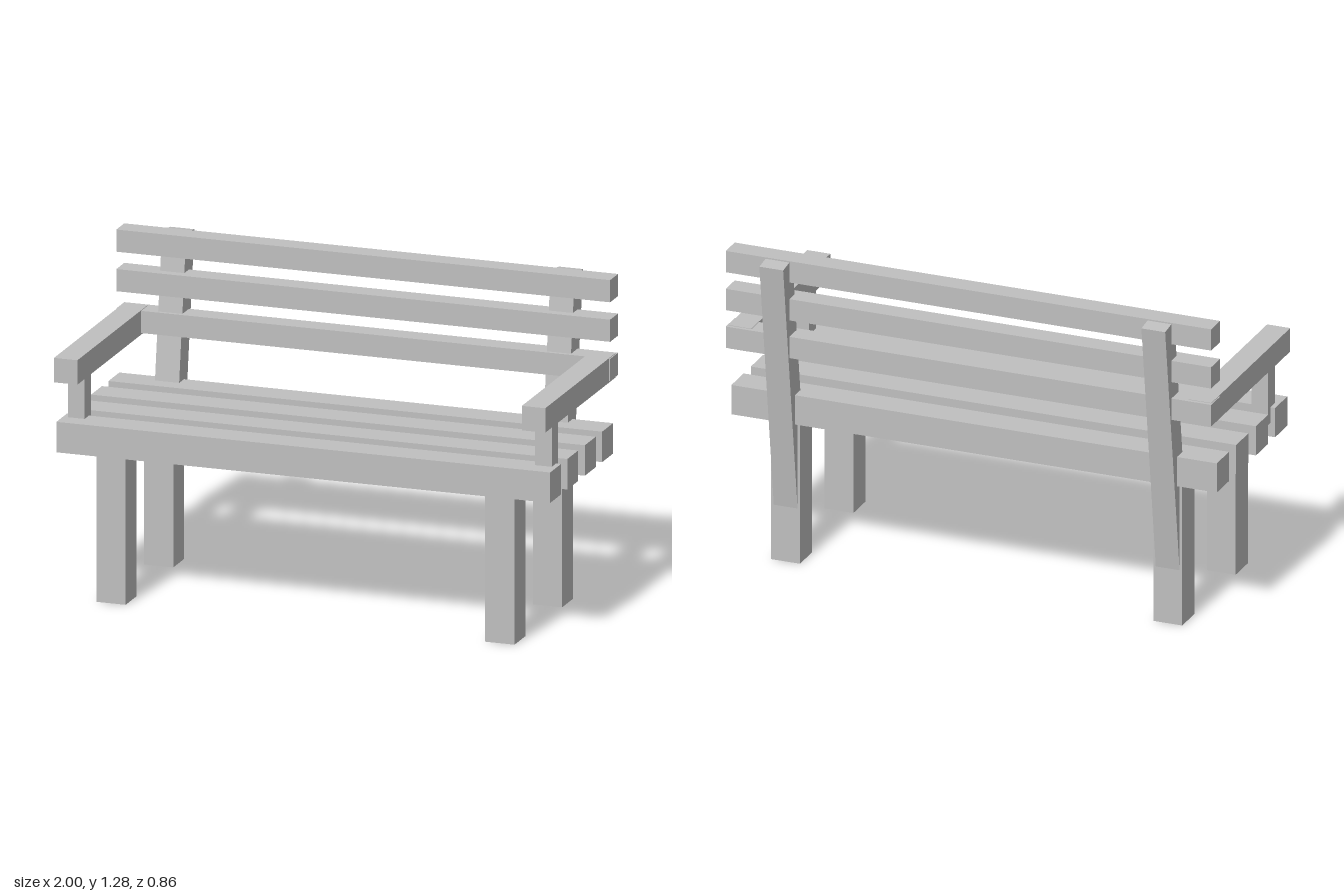
import * as THREE from 'three';

export function createModel() {
  const bench = new THREE.Group();
  bench.name = 'bench';
  const grey = new THREE.MeshStandardMaterial({ color: 0xbfbfbf });
  grey.name = 'plain grey';

  // Box given by its extents on each axis
  function beam(name, [x0, x1], [y0, y1], [z0, z1]) {
    const mesh = new THREE.Mesh(new THREE.BoxGeometry(x1 - x0, y1 - y0, z1 - z0), grey);
    mesh.position.set((x0 + x1) / 2, (y0 + y1) / 2, (z0 + z1) / 2);
    mesh.name = name;
    bench.add(mesh);
    return mesh;
  }

  // Seat slats
  [0.331, 0.139, -0.058, -0.252].forEach((z, i) =>
    beam(`seatSlat${i + 1}`, [-1, 1], [0.585, 0.706], [z - 0.061, z + 0.061]));

  // Backrest slats
  [0.926, 1.082, 1.239].forEach((y, i) =>
    beam(`backSlat${i + 1}`, [-1, 1], [y - 0.044, y + 0.044], [-0.369, -0.28]));

  // Leaning back post: its lower end is buried in the rear leg
  const lean = Math.atan(0.138);
  const bottom = new THREE.Vector2(-0.235, 0.2);
  const top = new THREE.Vector2(-0.386, 1.275);

  for (const side of [1, -1]) {
    const label = side > 0 ? 'left' : 'right';
    const span = (a, b) => (side > 0 ? [a, b] : [-b, -a]);

    // Legs
    beam(`${label}FrontLeg`, span(0.728, 0.847), [0, 0.63], [0.247, 0.368]);
    beam(`${label}RearLeg`, span(0.728, 0.847), [0, 0.63], [-0.287, -0.166]);

    // Armrest and its short support
    beam(`${label}Armrest`, span(0.9, 0.995), [0.875, 0.972], [-0.355, 0.433]);
    beam(`${label}ArmSupport`, span(0.912, 0.98), [0.64, 0.88], [0.247, 0.318]);

    // Back post
    const post = new THREE.Mesh(
      new THREE.BoxGeometry(0.098, top.distanceTo(bottom), 0.093), grey);
    post.position.set(side * 0.787, (top.y + bottom.y) / 2, (top.x + bottom.x) / 2);
    post.rotation.x = -lean;
    post.name = `${label}BackPost`;
    bench.add(post);
  }
  return bench;
}
